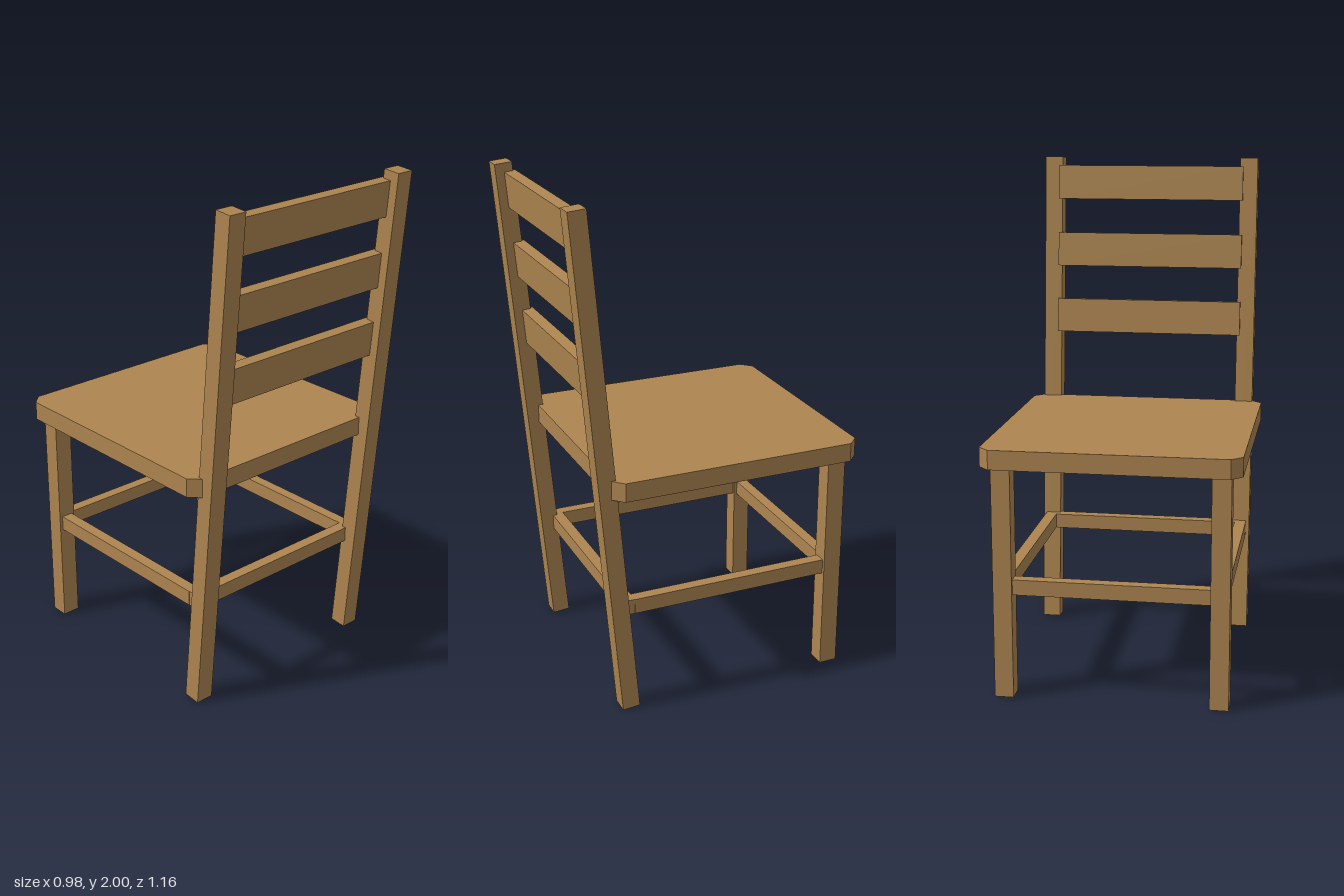
import * as THREE from 'three';

const wood = new THREE.MeshStandardMaterial({ color: 0xad8550 });
wood.name = 'wood';

// Adds a named box given its size and centre
function addBox(parent, name, [w, h, d], [x, y, z]) {
  const mesh = new THREE.Mesh(new THREE.BoxGeometry(w, h, d), wood);
  mesh.name = name;
  mesh.position.set(x, y, z);
  parent.add(mesh);
  return mesh;
}

// Seat board: rectangle with clipped corners, extruded upwards
function makeSeat() {
  const x = 0.49, z = 0.51, c = 0.042;
  const outline = new THREE.Shape([
    [x - c, -z], [x, c - z], [x, z - c], [x - c, z],
    [c - x, z], [-x, z - c], [-x, c - z], [c - x, -z],
  ].map(([a, b]) => new THREE.Vector2(a, b)));
  const geometry = new THREE.ExtrudeGeometry(outline, { depth: 0.075, bevelEnabled: false });
  geometry.rotateX(-Math.PI / 2);
  const seat = new THREE.Mesh(geometry, wood);
  seat.name = 'seat';
  seat.position.set(0, 0.91, -0.07);
  return seat;
}

export function createModel() {
  const chair = new THREE.Group();
  chair.name = 'chair';
  chair.add(makeSeat());

  // Leaning back frame: two full-height posts and three slats
  const back = new THREE.Group();
  back.name = 'backFrame';
  back.position.set(0, 1, 0.457);
  back.rotation.x = THREE.MathUtils.degToRad(5);
  chair.add(back);
  for (const y of [0.895, 0.613, 0.332]) {
    addBox(back, 'backSlat', [0.78, 0.14, 0.047], [0, y, -0.0235]);
  }

  // Mirrored posts, legs and side stretchers
  for (const side of [-1, 1]) {
    addBox(back, 'backPost', [0.073, 2.0015, 0.07], [side * 0.413, 0, 0]);
    addBox(chair, 'leg', [0.073, 0.91, 0.073], [side * 0.413, 0.455, -0.502]);
    addBox(chair, 'sideStretcher', [0.047, 0.06, 0.815], [side * 0.413, 0.44, -0.0625]);
  }

  // Stretchers running across the chair
  addBox(chair, 'postStretcher', [0.87, 0.06, 0.047], [0, 0.44, 0.3685]);
  addBox(chair, 'legStretcher', [0.78, 0.06, 0.047], [0, 0.44, -0.502]);

  return chair;
}
